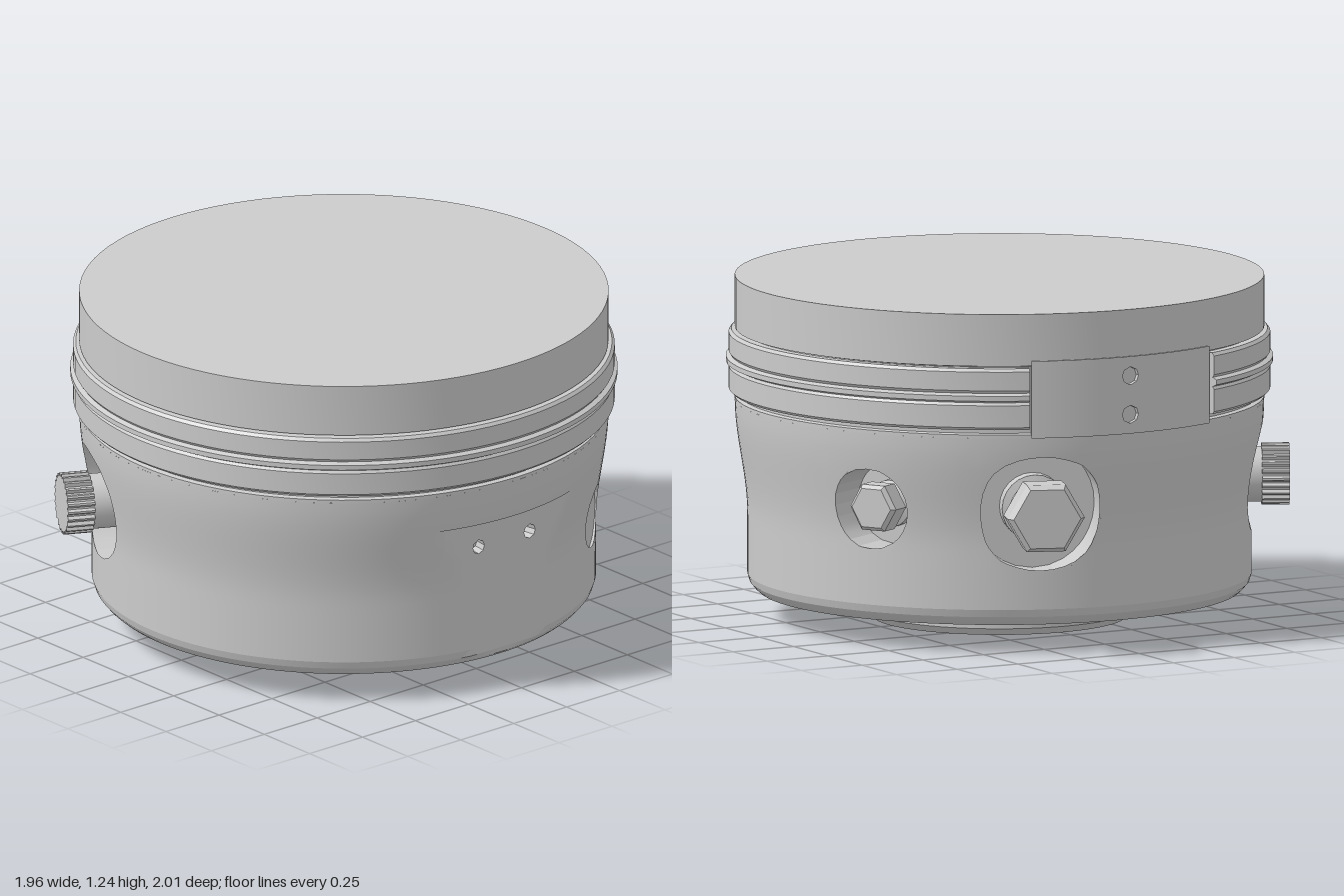
import * as THREE from 'three';
import { toCreasedNormals } from 'three/addons/utils/BufferGeometryUtils.js';

const COLS = 144, STEP = (Math.PI * 2) / COLS, PITCH = 0.035;
const rad = THREE.MathUtils.degToRad;
const material = new THREE.MeshStandardMaterial({ color: 0xcccccc });
const thin = new THREE.MeshStandardMaterial({ color: 0xcccccc, side: THREE.DoubleSide });

function add(parent, name, geometry, mat = material) {
  const mesh = new THREE.Mesh(geometry, mat);
  mesh.name = name;
  parent.add(mesh);
  return mesh;
}

const points = (list) => list.map(([x, y]) => new THREE.Vector2(x, y));

function lathe(list, segments = 96, start = 0, length = Math.PI * 2) {
  const g = new THREE.LatheGeometry(points(list), segments, start, length);
  return toCreasedNormals(g.toNonIndexed(), 0.5);
}

// Curved wall on a grid of columns (angle from +z towards +x) and rows.
// Grid lines near a hole are bent round it; cells inside sink to a flat floor.
// hole: { i, j: centre column and row, y, R, a: half size in cells, floor: distance from axis }
function curvedWall({ from = 0, to = COLS, rows, radius, holes, flat }) {
  const pos = [];
  const offset = (i, h) => ((i - h.i + COLS * 1.5) % COLS) - COLS / 2;
  const norm = (i, j, h) => Math.max(Math.abs(offset(i, h)), Math.abs(j - h.j));

  function surface(i, j, cut) {
    let angle = i * STEP, y = rows[j];
    for (const h of holes) {
      const m = norm(i, j, h), b = h.a > 1 ? h.a + 3 : 2;
      if (m >= b) continue;
      const r = radius(h.y), di = offset(i, h), dj = j - h.j;
      const dir = Math.atan2(dj * PITCH, di * STEP * r);
      const reach = h.R * Math.min(1, m / h.a);
      const t = Math.max(0, (m - h.a) / (b - h.a));
      const round = Math.asin((Math.cos(dir) * reach) / r);
      angle = h.i * STEP + THREE.MathUtils.lerp(round, di * STEP, t);
      y = THREE.MathUtils.lerp(h.y + Math.sin(dir) * reach, rows[j], t);
    }
    const r = radius(y), z = r * Math.cos(angle);
    return new THREE.Vector3(r * Math.sin(angle), y, cut ? Math.min(z, flat.z) : z);
  }
  const quad = (a, b, c, d) => [a, b, c, a, c, d].forEach((p) => pos.push(p.x, p.y, p.z));

  for (let j = 0; j < rows.length - 1; j++) {
    for (let i = from; i < to; i++) {
      const cut = flat && j < flat.row;
      const cell = [[i, j], [i + 1, j], [i + 1, j + 1], [i, j + 1]];
      const top = cell.map(([u, v]) => surface(u, v, cut));
      const hole = holes.find((h) => cell.every(([u, v]) => norm(u, v, h) <= h.a));
      if (hole) {
        const axis = new THREE.Vector3(Math.sin(hole.i * STEP), 0, Math.cos(hole.i * STEP));
        const low = top.map((p) => p.clone().addScaledVector(axis, hole.floor - p.dot(axis)));
        quad(...low);
        for (let k = 0; k < 4; k++) {
          const n = (k + 1) % 4;
          if (norm(...cell[k], hole) === hole.a && norm(...cell[n], hole) === hole.a) {
            quad(top[k], top[n], low[n], low[k]);
          }
        }
      } else quad(...top);
      // ledge over the flat
      if (flat && j === flat.row) {
        const c = surface(i, j, true), d = surface(i + 1, j, true);
        if (c.distanceTo(top[0]) + d.distanceTo(top[1]) > 1e-5) quad(c, d, top[1], top[0]);
      }
    }
  }
  const g = new THREE.BufferGeometry();
  g.setAttribute('position', new THREE.Float32BufferAttribute(pos, 3));
  return toCreasedNormals(g, 0.22);
}

// Group whose z axis points outward from the body at the given angle
function radialGroup(parent, name, degrees, y) {
  const g = new THREE.Group();
  g.name = name;
  g.rotation.y = rad(degrees);
  g.position.y = y;
  parent.add(g);
  return g;
}

// Turned part along z; the profile gives [radius, distance]
const turned = (list, segments = 24, spin = 0) => lathe(list, segments).rotateY(spin).rotateX(Math.PI / 2);

export function createModel() {
  const model = new THREE.Group();
  model.name = 'pistonHousing';
  model.position.z = 0.02;

  // Lower body with bores, front flat and two small front holes
  const rows = [0.1, 0.113, 0.133];
  for (let j = -10; j <= 8; j++) rows.push(0.51 + j * PITCH);
  const mid = 13;
  const bodyRadius = (y) => y < 0.16
    ? 0.905 - 0.04 * ((0.16 - y) / 0.06) ** 2
    : 0.905 + 0.045 * THREE.MathUtils.smoothstep(y, 0.38, 0.79);
  const holes = [
    { i: 64, j: mid, y: 0.51, R: 0.225, a: 4, floor: 0.72 },
    { i: 48, j: mid, y: 0.51, R: 0.15, a: 3, floor: 0.74 },
    { i: 97, j: mid, y: 0.51, R: 0.22, a: 4, floor: 0.72 },
    { i: 16, j: mid - 2, y: 0.43, R: 0.12, a: 2, floor: 0.893 },
    { i: 3, j: mid + 1, y: 0.545, R: 0.027, a: 1, floor: 0.84 },
    { i: 141, j: mid + 1, y: 0.545, R: 0.027, a: 1, floor: 0.84 },
  ];
  add(model, 'lowerBody', curvedWall({
    rows, radius: bodyRadius, holes, flat: { row: mid + 4, z: 0.885 },
  }));
  add(model, 'underside', new THREE.CircleGeometry(0.865, 96).rotateX(Math.PI / 2).translate(0, 0.1, 0));

  // Upper drum with the groove that holds the clamp band
  add(model, 'upperDrum', lathe([
    [0.95, 0.79], [0.95, 0.802], [0.932, 0.806], [0.932, 1.048], [0.95, 1.052], [0.95, 1.24], [0, 1.24],
  ]));

  // Clamp band, open at the back
  const band = [
    [0.93, 0.822], [0.962, 0.822], [0.972, 0.832], [0.972, 0.912], [0.965, 0.922], [0.982, 0.93],
    [0.982, 0.948], [0.965, 0.956], [0.972, 0.966], [0.972, 1.034], [0.962, 1.045], [0.93, 1.045], [0.93, 0.822],
  ];
  const end = rad(157);
  add(model, 'clampBand', lathe(band, 84, -end, end * 2), thin);
  for (const s of [-1, 1]) {
    const cap = add(model, 'bandEnd', new THREE.ShapeGeometry(new THREE.Shape(points(band))), thin);
    cap.rotation.y = s * end - Math.PI / 2;
  }

  // Curved joining plate at the back with two holes
  const plate = new THREE.Group();
  plate.name = 'joiningPlate';
  model.add(plate);
  const plateRows = Array.from({ length: 9 }, (_, j) => 0.79 + j * PITCH);
  add(plate, 'plateFace', curvedWall({
    from: 63, to: 81, rows: plateRows, radius: () => 0.957,
    holes: [2, 6].map((j) => ({ i: 72, j, y: plateRows[j], R: 0.033, a: 1, floor: 0.94 })),
  }));
  for (const y of [0.79, 1.07]) {
    add(plate, 'plateEdge', lathe([[0.93, y], [0.957, y]], 18, 63 * STEP, 18 * STEP), thin);
  }
  for (const i of [63, 81]) {
    const side = add(plate, 'plateSide', new THREE.PlaneGeometry(0.027, 0.28).translate(0.9435, 0.93, 0), thin);
    side.rotation.y = i * STEP - Math.PI / 2;
  }

  // Bottom hub with a centre recess and six bolt holes
  const hub = new THREE.Shape().absarc(0, 0, 0.455, 0, Math.PI * 2);
  const punch = (x, y, r) => hub.holes.push(new THREE.Path().absarc(x, y, r, 0, Math.PI * 2, true));
  punch(0, 0, 0.255);
  for (const d of [0, 45, 135, 180, 225, 315]) {
    punch(Math.sin(rad(d)) * 0.375, Math.cos(rad(d)) * 0.375, 0.032);
  }
  add(model, 'hub', new THREE.ExtrudeGeometry(hub, { depth: 0.1, bevelEnabled: false, curveSegments: 32 })
    .rotateX(Math.PI / 2).translate(0, 0.1, 0));
  add(model, 'hubRim', lathe([[0.455, 0], [0.475, 0.025], [0.475, 0.1]], 64));

  // Large hex bolt
  const bolt = radialGroup(model, 'largeBolt', 160, 0.51);
  add(bolt, 'boltHead', turned([[0, 0.93], [0.14, 0.93], [0.14, 1.025], [0.122, 1.05], [0, 1.05]], 6, Math.PI / 6));
  add(bolt, 'boltShank', turned([
    [0.12, 0.71], [0.12, 0.78], [0.085, 0.79], [0.085, 0.83], [0.105, 0.84], [0.105, 0.93],
  ]));

  // Small recessed hex plug
  const plug = radialGroup(model, 'smallPlug', 120, 0.51);
  add(plug, 'plugHead', turned([[0, 0.82], [0.095, 0.82], [0.095, 0.89], [0.08, 0.905], [0, 0.905]], 6, Math.PI / 6));
  add(plug, 'plugShank', turned([[0.085, 0.73], [0.085, 0.775], [0.06, 0.785], [0.06, 0.82]]));

  // Knurled knob
  const knob = radialGroup(model, 'knob', 242.5, 0.51);
  const teeth = 24, knurl = [];
  for (let k = 0; k < teeth * 4; k++) {
    const r = k % 4 < 2 ? 0.112 : 0.1, a = (k / (teeth * 4)) * Math.PI * 2;
    knurl.push([r * Math.cos(a), r * Math.sin(a)]);
  }
  add(knob, 'knobGrip', new THREE.ExtrudeGeometry(new THREE.Shape(points(knurl)), { depth: 0.1, bevelEnabled: false })
    .translate(0, 0, 0.94));
  add(knob, 'knobShaft', turned([[0.13, 0.71], [0.13, 0.77], [0.1, 0.785], [0.1, 0.94]]));

  return model;
}
